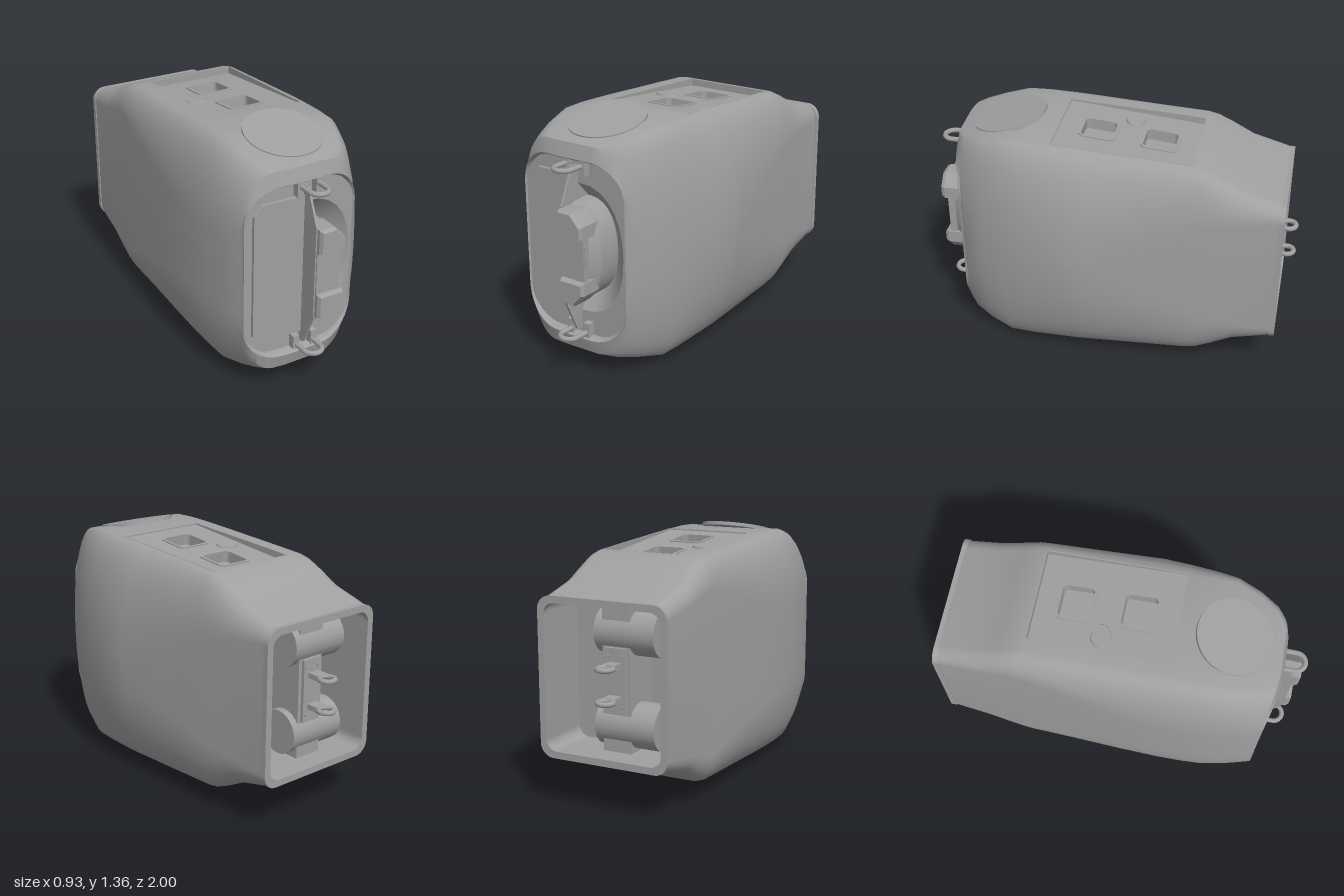
import * as THREE from 'three';
import { toCreasedNormals } from 'three/addons/utils/BufferGeometryUtils.js';

const MID = 0.675; // height of the horizontal symmetry plane

// Skin a list of closed rings of [x, y, z]; skip(i, j) leaves a quad open
function loft(rings, skip = () => false, crease = 0.6) {
  const n = rings[0].length, idx = [];
  for (let i = 0; i < rings.length - 1; i++) {
    for (let j = 0; j < n; j++) {
      if (skip(i, j)) continue;
      const k = (j + 1) % n, a = i * n + j, b = i * n + k;
      idx.push(a, b, a + n, b, b + n, a + n);
    }
  }
  const g = new THREE.BufferGeometry();
  g.setAttribute('position', new THREE.Float32BufferAttribute(rings.flat(2), 3));
  g.setIndex(idx);
  return toCreasedNormals(g, crease);
}

const N = 9; // segments per corner
// Body cross-section: rounded corners with separate left and right radii, counterclockwise
function section([z, xL, xR, yT, ryL, ryR, fL = -0.31, fR = 0.26, bow = 0]) {
  const h = yT - MID, top = [];
  for (let k = 0; k <= N; k++) {
    const a = (k / N) * Math.PI / 2;
    top.push([fR + (xR - fR) * Math.cos(a), h - ryR + ryR * Math.sin(a)]);
  }
  top.push([fL + 0.07, h]);
  for (let k = 0; k <= N; k++) {
    const a = (k / N) * Math.PI / 2;
    top.push([fL + (xL - fL) * Math.sin(a), h - ryL + ryL * Math.cos(a)]);
  }
  const all = [...top, ...top.map(([x, y]) => [x, -y]).reverse()];
  return all.map(([x, y]) => [x, MID + y, z - bow * ((x + 0.07) / 0.33) ** 2]);
}

function roundRect(x0, x1, y0, y1, r, S = THREE.Shape) {
  const s = new S();
  s.moveTo(x0 + r, y0);
  s.lineTo(x1 - r, y0); s.absarc(x1 - r, y0 + r, r, -Math.PI / 2, 0);
  s.lineTo(x1, y1 - r); s.absarc(x1 - r, y1 - r, r, 0, Math.PI / 2);
  s.lineTo(x0 + r, y1); s.absarc(x0 + r, y1 - r, r, Math.PI / 2, Math.PI);
  s.lineTo(x0, y0 + r); s.absarc(x0 + r, y0 + r, r, Math.PI, Math.PI * 1.5);
  return s;
}
const poly = (pts) => new THREE.Shape(pts.map(([x, y]) => new THREE.Vector2(x, y)));
const extrude = (shape, depth) =>
  new THREE.ExtrudeGeometry(shape, { depth, bevelEnabled: false, curveSegments: 10 });

// D-shaped outline opening towards the right
function dOutline(rx, ry, z) {
  const pts = [];
  for (let k = 0; k <= 14; k++) {
    const a = -Math.PI / 2 + (k / 14) * Math.PI;
    const c = Math.cos(a), s = Math.sin(a);
    pts.push([-0.045 + rx * Math.max(c, 0) ** 0.8, MID + ry * Math.sign(s) * Math.abs(s) ** 0.9, z]);
  }
  return pts;
}

export function createModel() {
  const model = new THREE.Group();
  const grey = new THREE.MeshStandardMaterial({ color: 0xa0a0a0, side: THREE.DoubleSide });
  grey.name = 'grey';
  const add = (name, geo, x = 0, y = 0, z = 0, parent = model) => {
    const m = new THREE.Mesh(geo, grey);
    m.name = name;
    m.position.set(x, y, z);
    parent.add(m);
    return m;
  };
  const box = (name, w, h, d, x, y, z, parent) =>
    add(name, new THREE.BoxGeometry(w, h, d), x, y, z, parent);

  // Body shell, from the rear opening to the front rim
  const stations = [
    [-0.92, -0.386, 0.34, 1.09, 0.07, 0.07],
    [-0.88, -0.388, 0.343, 1.105, 0.08, 0.09],
    [-0.7, -0.398, 0.36, 1.155, 0.1, 0.16],
    [-0.58, -0.405, 0.375, 1.22, 0.13, 0.25],
    [-0.5, -0.41, 0.385, 1.257, 0.15, 0.3],
    [-0.44, -0.415, 0.392, 1.27, 0.17, 0.35],
    [-0.2, -0.432, 0.42, 1.283, 0.26, 0.46],
    [0.1, -0.455, 0.458, 1.298, 0.36, 0.6],
    [0.17, -0.459, 0.464, 1.302, 0.39, 0.62],
    [0.31, -0.465, 0.45, 1.308, 0.42, 0.63],
    [0.45, -0.462, 0.425, 1.312, 0.44, 0.62],
    [0.57, -0.453, 0.395, 1.309, 0.44, 0.6],
    [0.7, -0.432, 0.35, 1.277, 0.42, 0.58, -0.29, 0.22],
    [0.8, -0.41, 0.295, 1.253, 0.4, 0.54, -0.25, 0.16],
    [0.865, -0.4, 0.268, 1.235, 0.33, 0.38, -0.22, 0.08, 0.045],
    [0.885, -0.395, 0.26, 1.16, 0.2, 0.2, -0.195, 0.06, 0.05],
    [0.865, -0.383, 0.248, 1.148, 0.19, 0.19, -0.19, 0.055, 0.05],
    [0.8, -0.383, 0.248, 1.148, 0.19, 0.19, -0.19, 0.055],
  ];
  add('bodyShell', loft(stations.map(section),
    (i, j) => j === N && stations[i][0] >= -0.44 && stations[i][0] < 0.31));

  // Rear rim and inner liner
  const rim = roundRect(-0.392, 0.346, 0.255, 1.095, 0.075);
  rim.holes.push(roundRect(-0.355, 0.31, 0.292, 1.058, 0.06, THREE.Path));
  add('rearRim', extrude(rim, 0.03), 0, 0, -0.932);
  const liner = roundRect(-0.375, 0.33, 0.272, 1.078, 0.07);
  liner.holes.push(roundRect(-0.363, 0.318, 0.284, 1.066, 0.06, THREE.Path));
  add('rearLiner', extrude(liner, 0.3), 0, 0, -0.91);
  add('rearBulkhead', extrude(roundRect(-0.375, 0.33, 0.272, 1.078, 0.07), 0.02), 0, 0, -0.61);

  // Rear mechanism: bracket, drums and hinge eyes
  box('rearBracket', 0.16, 0.74, 0.22, -0.05, MID, -0.72);
  box('bracketPlate', 0.12, 0.34, 0.02, -0.05, MID, -0.838);
  for (const s of [-1, 1]) {
    const drum = add('rearDrum', new THREE.CylinderGeometry(0.12, 0.12, 0.34, 24), -0.1, MID + s * 0.24, -0.73);
    drum.rotation.z = Math.PI / 2;
    const y = MID + s * 0.085;
    const eye = add('rearEye', new THREE.TorusGeometry(0.04, 0.014, 8, 20), -0.055, y, -0.946);
    eye.rotation.x = Math.PI / 2;
    box('rearEyeTab', 0.07, 0.028, 0.08, -0.055, y, -0.875);
    for (const x of [-0.09, -0.01]) {
      const bolt = add('bracketBolt', new THREE.CylinderGeometry(0.01, 0.01, 0.01, 8), x, MID + s * 0.13, -0.85);
      bolt.rotation.x = Math.PI / 2;
    }
  }

  // Tilted round covers on top and bottom
  for (const s of [-1, 1]) {
    const disc = add('roundCover', new THREE.CylinderGeometry(0.205, 0.205, 0.02, 40), -0.03, MID + s * 0.622, 0.6);
    disc.rotation.x = s * 0.235;
  }

  // Recessed top panel with two pockets and a button
  const panel = new THREE.Group();
  panel.name = 'topPanel';
  panel.position.y = 1.271;
  panel.rotation.x = -0.093;
  model.add(panel);
  const flat = (shape, depth) => extrude(shape, depth).rotateX(Math.PI / 2);
  const plate = roundRect(-0.245, 0.265, -0.445, 0.315, 0.005);
  const pockets = [[-0.33, -0.14], [0.005, 0.195]];
  for (const [a, b] of pockets) plate.holes.push(roundRect(-0.085, 0.11, a, b, 0.03, THREE.Path));
  add('panelPlate', flat(plate, 0.015), 0, 0, 0, panel);
  for (const [a, b] of pockets) {
    const frame = roundRect(-0.09, 0.115, a - 0.005, b + 0.005, 0.035);
    frame.holes.push(roundRect(-0.075, 0.1, a + 0.01, b - 0.01, 0.025, THREE.Path));
    add('pocketFrame', flat(frame, 0.07), 0, 0.006, 0, panel);
    box('pocketFloor', 0.19, 0.01, 0.19, 0.0125, -0.06, (a + b) / 2, panel);
  }
  const button = add('panelButton', new THREE.CylinderGeometry(0.055, 0.06, 0.012, 24), -0.15, 0.004, -0.07, panel);
  button.scale.set(1.1, 1, 0.9);
  // Walls around the panel recess
  const wall = poly([[0.44, 1.22], [0.44, 1.27], [0.2, 1.283], [-0.1, 1.298], [-0.31, 1.308], [-0.31, 1.29]]);
  for (const x of [-0.246, 0.26]) add('panelSideWall', extrude(wall, 0.006).rotateY(Math.PI / 2), x);
  box('panelRearWall', 0.5, 0.05, 0.006, 0.01, 1.244, -0.443);
  box('panelFrontWall', 0.5, 0.02, 0.006, 0.01, 1.297, 0.313);

  // Front panel with a sloped D-shaped recess
  const face = roundRect(-0.385, 0.25, 0.2, 1.15, 0.19);
  face.holes.push(new THREE.Path(dOutline(0.285, 0.35, 0).map(([x, y]) => new THREE.Vector2(x, y))));
  add('frontPanel', extrude(face, 0.02), 0, 0, 0.81);
  add('handleRecess', loft([dOutline(0.18, 0.25, 0.74), dOutline(0.285, 0.35, 0.83)], undefined, 0.4));
  add('recessFloor', extrude(poly(dOutline(0.19, 0.26, 0)), 0.01), 0, 0, 0.735);
  add('frontPlate', extrude(poly([[-0.29, 0.285], [-0.05, 0.285], [-0.05, 1.065], [-0.29, 1.065],
    [-0.34, 1.015], [-0.34, 0.335]]), 0.02), 0, 0, 0.828);
  add('centreRib', extrude(poly([[-0.82, 0.23], [-0.87, 0.23], [-0.955, 0.42], [-0.955, 0.93],
    [-0.87, 1.12], [-0.82, 1.12]]), 0.012).rotateY(Math.PI / 2), -0.052);

  // Front handle: chamfered base, middle bar and two raised ends
  add('handleBase', loft([dOutline(0.18, 0.26, 0.74), dOutline(0.18, 0.26, 0.87), dOutline(0.135, 0.21, 0.93)], undefined, 0.4));
  add('handleTop', extrude(poly(dOutline(0.135, 0.21, 0)), 0.01), 0, 0, 0.92);
  box('handleBar', 0.14, 0.28, 0.04, 0.025, MID, 0.942);
  box('handleSlot', 0.006, 0.14, 0.02, 0.097, MID, 0.945);
  for (const s of [-1, 1]) {
    const end = [[-0.035, 0.125], [0.095, 0.125], [0.095, 0.18], [0.04, 0.24], [-0.035, 0.24]];
    const g = new THREE.ExtrudeGeometry(poly(end.map(([x, y]) => [x, MID + s * y])),
      { depth: 0.11, bevelThickness: 0.02, bevelSize: 0.01, bevelSegments: 1 });
    add('handleEnd', g, 0, 0, 0.865);

    // Front strap loops with their mounting blocks
    const y = MID + s * 0.452;
    const loop = add('frontLoop', new THREE.TorusGeometry(0.05, 0.014, 8, 16, Math.PI), -0.035, y, 0.936);
    loop.rotation.x = Math.PI / 2;
    for (const d of [-1, 1]) {
      const leg = add('loopLeg', new THREE.CylinderGeometry(0.014, 0.014, 0.1, 8), -0.035 + d * 0.05, y, 0.887);
      leg.rotation.x = Math.PI / 2;
      box('loopBlock', 0.036, 0.085, 0.05, -0.037 + d * 0.054, y - s * 0.01, 0.845);
    }
  }
  return model;
}
